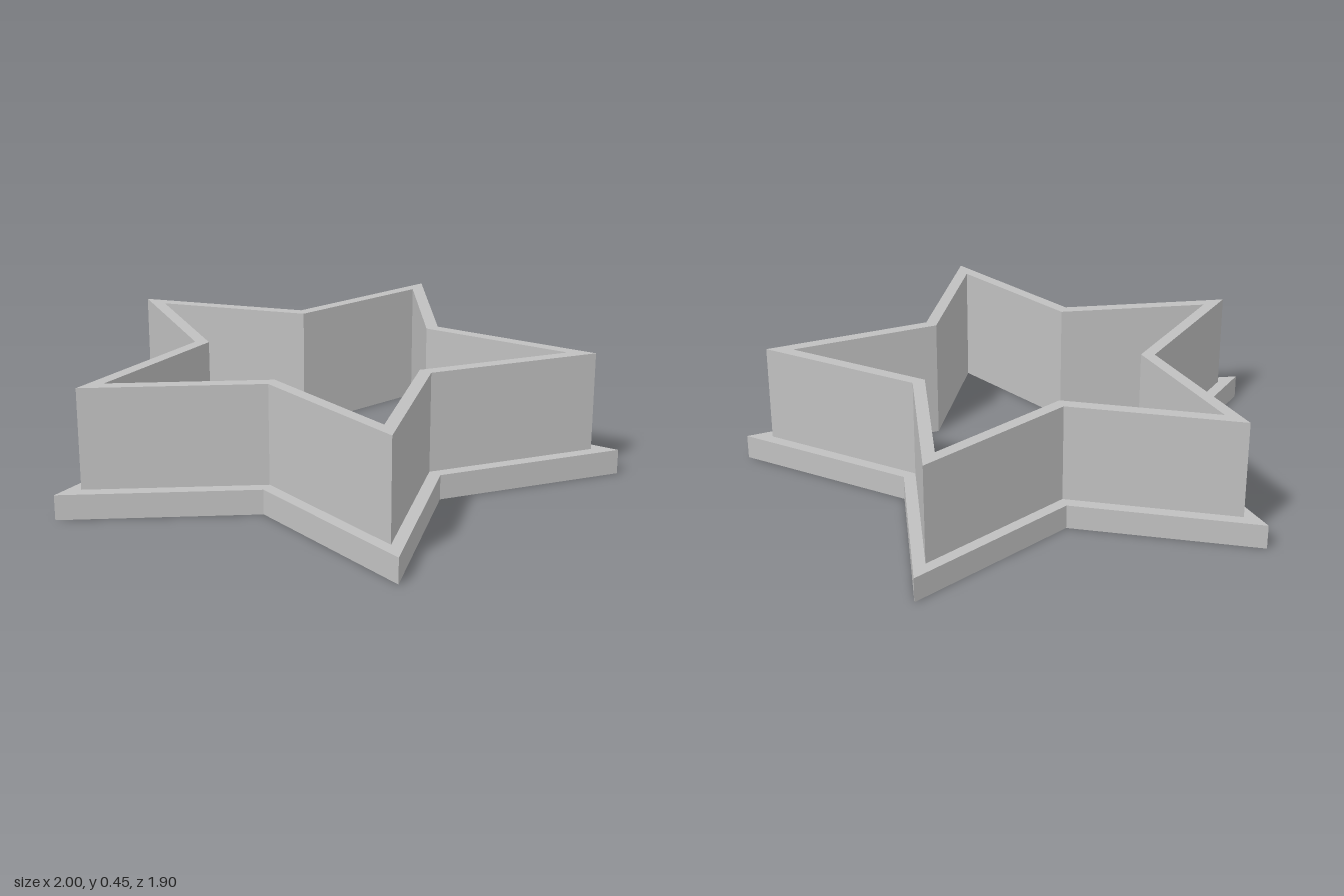
import * as THREE from 'three';

const POINTS = 5;
const CENTRE_Z = 0.1; // the star's centre sits forward of its bounding box centre

// Corner i of a star with tip radius r, its first tip pointing back
function starCorner(i, [r, y]) {
  const a = (i * Math.PI) / POINTS;
  const radius = i % 2 ? r / 2 : r;
  return [radius * Math.sin(a), y, CENTRE_Z - radius * Math.cos(a)];
}

// Sweeps a profile of [tip radius, height] around the star outline with flat faces
function starBand(profile) {
  const pos = [];
  for (let k = 0; k < profile.length - 1; k++) {
    for (let i = 0; i < POINTS * 2; i++) {
      const a = starCorner(i, profile[k]);
      const b = starCorner(i + 1, profile[k]);
      const c = starCorner(i + 1, profile[k + 1]);
      const d = starCorner(i, profile[k + 1]);
      pos.push(...a, ...d, ...b, ...d, ...c, ...b);
    }
  }
  const g = new THREE.BufferGeometry();
  g.setAttribute('position', new THREE.Float32BufferAttribute(pos, 3));
  g.computeVertexNormals();
  return g;
}

export function createModel() {
  const group = new THREE.Group();
  group.name = 'starCutter';
  const grey = new THREE.MeshStandardMaterial({ color: 0xc0c0c0 });
  grey.name = 'grey';

  const OUTER = 1.0515, WALL = 0.954, HOLE = 0.854;
  const LIP = 0.09, TOP = 0.45;

  const add = (name, profile) => {
    const mesh = new THREE.Mesh(starBand(profile), grey);
    mesh.name = name;
    group.add(mesh);
  };

  // Base flange: underside, rim and the ledge up to the wall
  add('baseFlange', [[HOLE, 0], [OUTER, 0], [OUTER, LIP], [WALL, LIP]]);
  // Upright wall: outside, top edge and the full-height inside
  add('starWall', [[WALL, LIP], [WALL, TOP], [HOLE, TOP], [HOLE, 0]]);

  return group;
}
